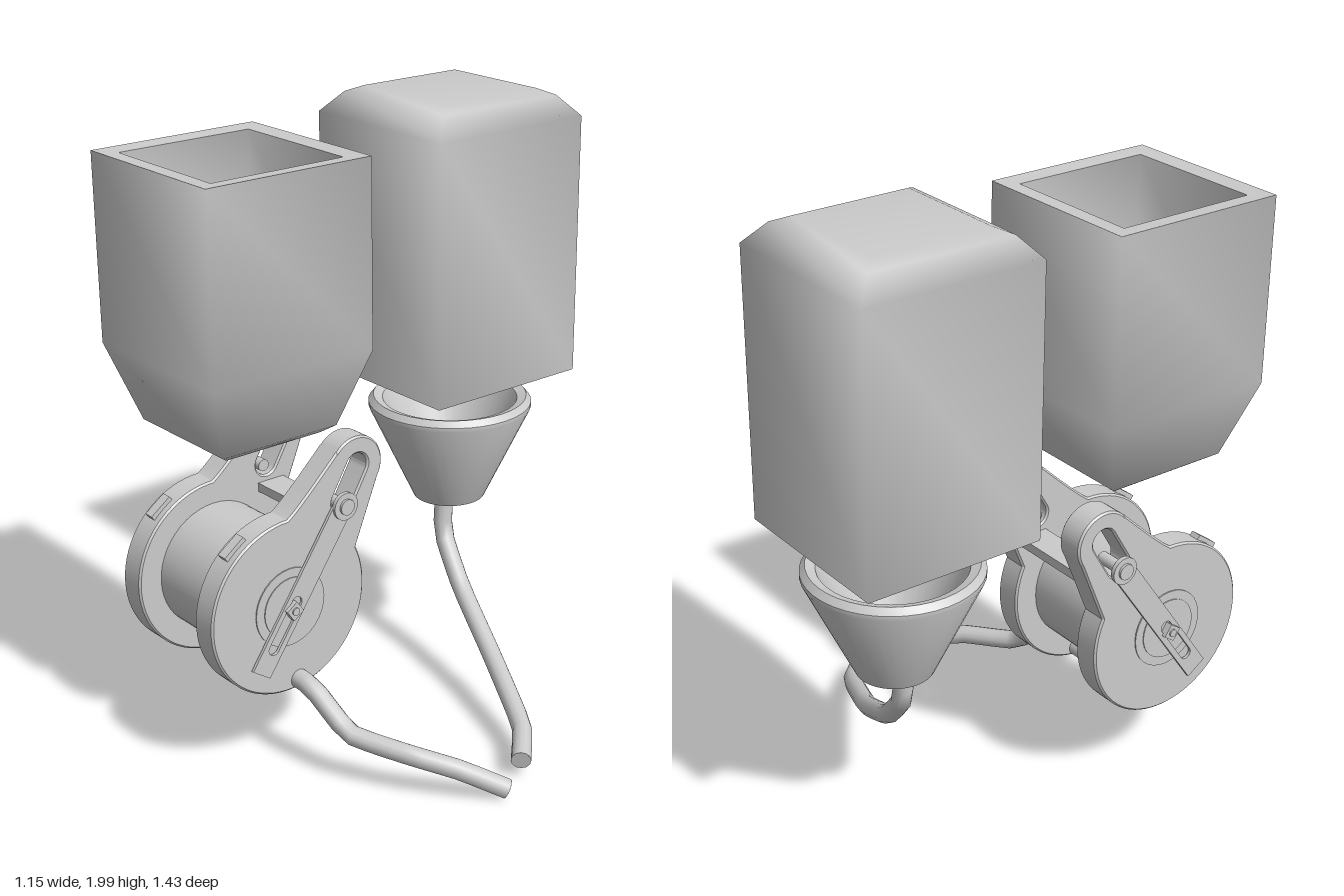
import * as THREE from 'three';
import { mergeVertices, toCreasedNormals } from 'three/addons/utils/BufferGeometryUtils.js';

const mat = new THREE.MeshStandardMaterial({ color: 0xcccccc, side: THREE.DoubleSide });
const CX = -0.288;            // shared centre line of tanks, reel and funnel
const FZ = 0.42, BZ = -0.425; // front and back stations

function add(parent, name, geo, x = 0, y = 0, z = 0) {
  const m = new THREE.Mesh(geo, mat);
  m.name = name;
  m.position.set(x, y, z);
  parent.add(m);
  return m;
}

// Square section swept through [half width, height] pairs, with softened shading
function squareLoft(profile) {
  const pts = profile.map(([h, y]) => new THREE.Vector2(h * Math.SQRT2, y));
  const g = new THREE.LatheGeometry(pts, 4, Math.PI / 4);
  g.deleteAttribute('normal');
  g.deleteAttribute('uv');
  const merged = mergeVertices(g, 1e-4);
  merged.computeVertexNormals();
  return merged;
}

// Extrude a (z, y) outline along x, centred on its thickness
function plate(shape, depth, bevel = 0) {
  const d = depth - 2 * bevel;
  const g = new THREE.ExtrudeGeometry(shape, {
    depth: d, curveSegments: 32, bevelEnabled: bevel > 0,
    bevelSize: bevel, bevelThickness: bevel, bevelOffset: -bevel, bevelSegments: 1,
  });
  g.translate(0, 0, -d / 2);
  g.rotateY(-Math.PI / 2);
  return toCreasedNormals(g, 0.5);
}

// Rounded slot between two points
function slot(target, [ax, ay], [bx, by], r) {
  const a = Math.atan2(by - ay, bx - ax);
  target.absarc(ax, ay, r, a + Math.PI / 2, a + Math.PI * 1.5, false);
  target.absarc(bx, by, r, a - Math.PI / 2, a + Math.PI / 2, false);
  target.closePath();
  return target;
}

// Short cylinder lying along x
function disc(r, depth, sides = 32) {
  return new THREE.CylinderGeometry(r, r, depth, sides).rotateZ(Math.PI / 2);
}

// Hose with closed ends
function hose(name, coords, r) {
  const g = new THREE.Group();
  g.name = name;
  const pts = coords.map(c => new THREE.Vector3(...c));
  const curve = new THREE.CatmullRomCurve3(pts, false, 'catmullrom', 0.2);
  add(g, 'hoseTube', new THREE.TubeGeometry(curve, 16, r, 12));
  for (const [t, s] of [[0, -1], [1, 1]]) {
    const p = curve.getPoint(t);
    const cap = add(g, 'hoseEnd', new THREE.CircleGeometry(r, 12), p.x, p.y, p.z);
    cap.lookAt(p.clone().addScaledVector(curve.getTangent(t), s));
  }
  return g;
}

// Open hopper with a tapered base and a twisted two-blade stirrer inside
function hopper() {
  const g = new THREE.Group();
  g.name = 'hopper';
  g.position.set(CX, 0, FZ);
  add(g, 'hopperShell', squareLoft([[0, 1.06], [0.175, 1.06], [0.21, 1.085], [0.29, 1.33], [0.29, 1.92]]));
  add(g, 'hopperRim', squareLoft([[0.29, 1.92], [0.232, 1.915]]));
  add(g, 'hopperInside', squareLoft([[0.232, 1.915], [0.23, 1.36], [0, 1.1]]));
  const blade = new THREE.Shape();
  blade.moveTo(0, 0);
  blade.bezierCurveTo(-0.045, 0.03, -0.02, 0.13, 0.065, 0.145);
  blade.bezierCurveTo(0.085, 0.12, 0.03, 0.12, 0.03, 0.06);
  blade.bezierCurveTo(0.03, 0.03, 0.02, 0.01, 0, 0);
  for (const turn of [0, Math.PI]) {
    const geo = new THREE.ExtrudeGeometry(blade, { depth: 0.015, bevelEnabled: false });
    geo.rotateX(-Math.PI / 2);
    add(g, 'stirrerBlade', geo, 0, 1.25, -0.005).rotation.y = turn;
  }
  add(g, 'stirrerShaft', new THREE.CylinderGeometry(0.012, 0.012, 0.16, 12), 0, 1.17, 0);
  return g;
}

// Closed-top tank, open underneath
function tank() {
  const g = new THREE.Group();
  g.name = 'tank';
  g.position.set(CX, 0, BZ);
  add(g, 'tankShell', squareLoft([[0.293, 1.07], [0.293, 1.915], [0.235, 1.98], [0.19, 2], [0, 2]]));
  add(g, 'tankBottomRim', squareLoft([[0.255, 1.07], [0.293, 1.07]]));
  add(g, 'tankInside', squareLoft([[0, 1.9], [0.255, 1.85], [0.255, 1.07]]));
  return g;
}

function funnel() {
  const pts = [[0.03, 0.66], [0.085, 0.65], [0.095, 0.61], [0.12, 0.61], [0.272, 0.935], [0.272, 0.95],
    [0.255, 0.97], [0.225, 0.96], [0.09, 0.68], [0, 0.67]];
  const lathe = new THREE.LatheGeometry(pts.map(p => new THREE.Vector2(...p)), 40);
  return add(new THREE.Group(), 'funnel', toCreasedNormals(lathe, 0.7), CX, 0, -0.437);
}

// Drum between two teardrop cheeks with slotted arms, bars and bolts
function reel() {
  const g = new THREE.Group();
  g.name = 'reel';
  g.position.x = CX;
  const cz = 0.425, cy = 0.55, deg = Math.PI / 180;
  add(g, 'drum', disc(0.21, 0.31, 48), 0, cy + 0.005, cz);
  add(g, 'crossBar', new THREE.BoxGeometry(0.31, 0.03, 0.1), 0, 0.77, 0.2);

  const cheek = new THREE.Shape();
  cheek.absarc(cz, cy, 0.29, 155 * deg, 450 * deg, false);
  cheek.quadraticCurveTo(0.385, 0.865, 0.233, 1.01);
  cheek.absarc(0.157, 0.942, 0.1, 42 * deg, 212 * deg, false);
  cheek.closePath();
  cheek.holes.push(slot(new THREE.Path(), [0.155, 0.945], [0.215, 0.845], 0.04));

  const bar = new THREE.Shape();
  const [ux, uy] = [-0.567, 0.824]; // bar direction, towards the arm tip
  const [bx, by] = [0.55, 0.362], w = 0.038;
  bar.moveTo(bx - uy * w, by + ux * w);
  bar.lineTo(bx + uy * w, by - ux * w);
  bar.lineTo(0.22 + uy * w, 0.835 - ux * w);
  bar.absarc(0.22, 0.835, w, Math.atan2(-ux, uy), Math.atan2(-ux, uy) + Math.PI, false);
  bar.closePath();
  bar.holes.push(slot(new THREE.Path(), [0.5, 0.435], [0.41, 0.565], 0.02));

  for (const s of [-1, 1]) {
    const side = new THREE.Group();
    side.name = s > 0 ? 'leftCheek' : 'rightCheek';
    g.add(side);
    add(side, 'cheekPlate', plate(cheek, 0.09, 0.006), s * 0.196);
    add(side, 'hubRing', disc(0.13, 0.006), s * 0.242, cy, cz);
    add(side, 'hubDisc', disc(0.1, 0.01), s * 0.243, cy, cz);
    add(side, 'clampBar', plate(bar, 0.01), s * 0.252);
    add(side, 'slotBolt', disc(0.02, 0.1, 16), s * 0.21, 0.835, 0.22);
    add(side, 'boltWasher', disc(0.045, 0.014, 24), s * 0.26, 0.835, 0.22);
    add(side, 'boltHead', disc(0.026, 0.014, 16), s * 0.268, 0.835, 0.22);
    add(side, 'hubNut', new THREE.BoxGeometry(0.025, 0.045, 0.045), s * 0.258, 0.545, cz).rotation.x = 0.6;
    add(side, 'hubPin', disc(0.013, 0.05, 12), s * 0.25, 0.545, cz);
    // Small tab on the rim
    add(side, 'rimTab', new THREE.BoxGeometry(0.035, 0.03, 0.085), s * 0.196, 0.782, 0.597).rotation.x = 36 * deg;
  }
  return g;
}

export function createModel() {
  const model = new THREE.Group();
  model.name = 'feederMachine';
  model.add(hopper(), tank(), funnel(), reel());
  model.add(hose('frontHose', [[-0.18, 0.293, 0.395], [0.02, 0.285, 0.395], [0.165, 0.175, 0.365],
    [0.335, 0.145, 0.275], [0.455, 0.105, 0.17], [0.545, 0.035, 0.055]], 0.032));
  model.add(hose('backHose', [[CX, 0.66, -0.42], [-0.275, 0.48, -0.4], [-0.14, 0.33, -0.365], [0.1, 0.2, -0.285],
    [0.38, 0.1, -0.16], [0.495, 0.07, -0.05]], 0.032));
  return model;
}
